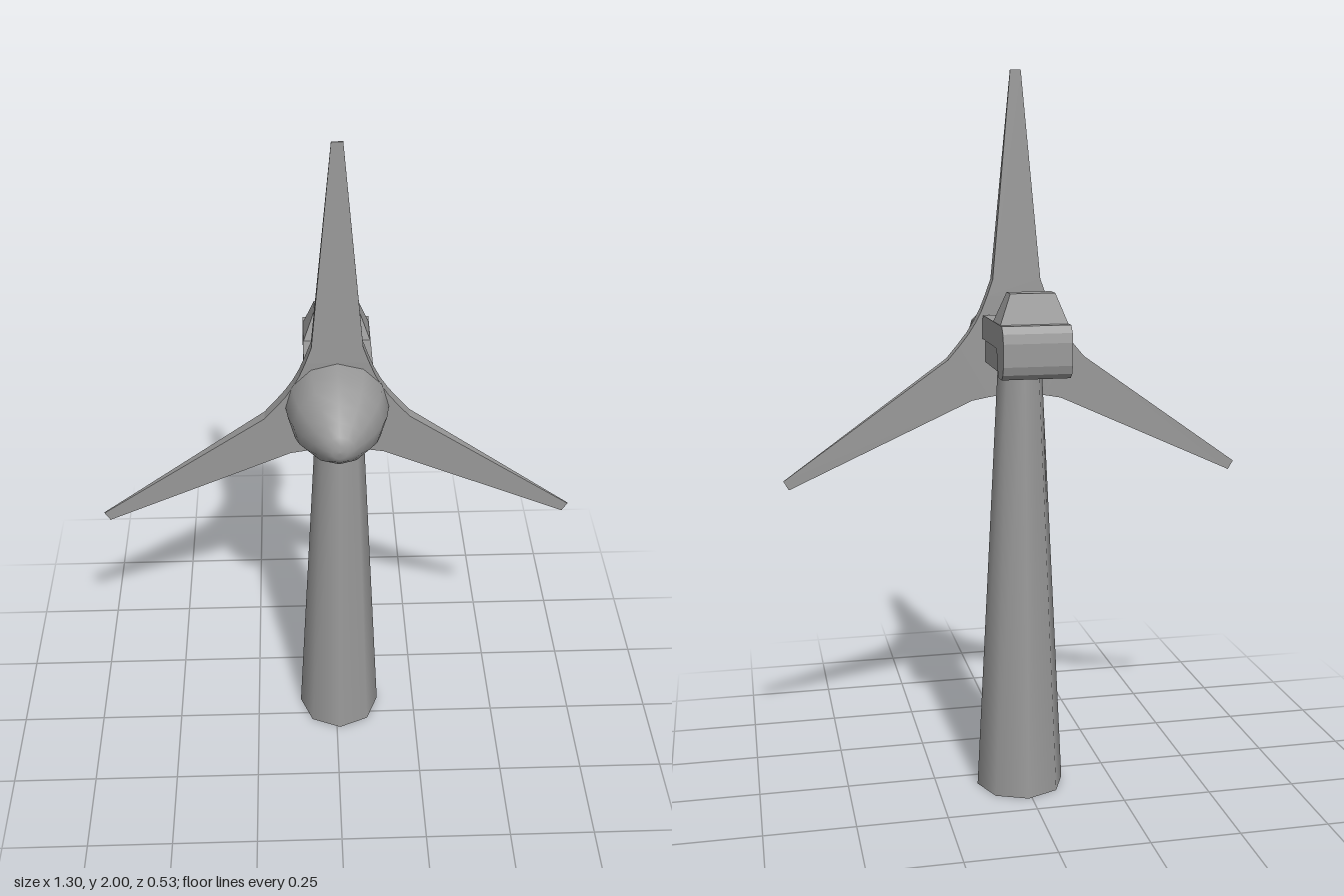
import * as THREE from 'three';

const paint = new THREE.MeshStandardMaterial({ color: 0x999999 });
const HUB_Y = 1.255;

function addMesh(parent, name, geometry, x = 0, y = 0, z = 0) {
  const mesh = new THREE.Mesh(geometry, paint);
  mesh.name = name;
  mesh.position.set(x, y, z);
  parent.add(mesh);
  return mesh;
}

// Flat-faced loft through rectangles [y, halfWidth, zMin, zMax], lowest first
function loft(sections) {
  const rings = sections.map(([y, w, z0, z1]) => [[w, y, z1], [w, y, z0], [-w, y, z0], [-w, y, z1]]);
  const pos = [];
  const quad = (a, b, c, d) => pos.push(...a, ...b, ...c, ...a, ...c, ...d);
  for (let s = 0; s < rings.length - 1; s++) {
    for (let i = 0; i < 4; i++) {
      const j = (i + 1) % 4;
      quad(rings[s][i], rings[s][j], rings[s + 1][j], rings[s + 1][i]);
    }
  }
  const first = rings[0], last = rings[rings.length - 1];
  quad(first[3], first[2], first[1], first[0]);
  quad(last[0], last[1], last[2], last[3]);
  const g = new THREE.BufferGeometry();
  g.setAttribute('position', new THREE.Float32BufferAttribute(pos, 3));
  g.computeVertexNormals();
  return g;
}

export function createModel() {
  const model = new THREE.Group();
  model.name = 'windTurbine';

  // Tapered eight-sided tower
  addMesh(model, 'tower', new THREE.CylinderGeometry(0.061, 0.124, 1.22, 8), 0.01, 0.61, -0.06);

  // Nacelle: side profile (z, y) extruded across the width
  const nacelle = new THREE.Group();
  nacelle.name = 'nacelle';
  nacelle.position.x = 0.005;
  model.add(nacelle);
  const profile = new THREE.Shape([
    [0.028, 1.278], [0.028, 1.328], [0.013, 1.344], [-0.247, 1.344], [-0.262, 1.325], [-0.267, 1.3],
    [-0.267, 1.24], [-0.26, 1.218], [-0.244, 1.204], [-0.205, 1.204], [-0.19, 1.222],
    [-0.187, 1.258], [-0.165, 1.278],
  ].map(([z, y]) => new THREE.Vector2(z, y)));
  const body = new THREE.ExtrudeGeometry(profile, { depth: 0.184, bevelEnabled: false });
  body.rotateY(-Math.PI / 2).translate(0.092, 0, 0);
  addMesh(nacelle, 'nacelleBody', body);

  // Recessed underside and the raised housing at the back
  addMesh(nacelle, 'nacelleUnderside', loft([[1.212, 0.083, -0.195, 0.028], [1.28, 0.083, -0.195, 0.028]]));
  addMesh(nacelle, 'roofHousing', loft([[1.34, 0.092, -0.222, -0.122], [1.423, 0.06, -0.2, -0.151]]));

  // Rotor: three flared blades that meet at the hub
  const rotor = new THREE.Group();
  rotor.name = 'rotor';
  rotor.position.set(0, HUB_Y, 0.046);
  model.add(rotor);
  const bladeGeometry = loft([
    [0, 0, 0.018], [0.067, 0.116, 0.018], [0.1, 0.099, 0.018], [0.14, 0.083, 0.018],
    [0.185, 0.067, 0.017], [0.745, 0.0145, 0.002],
  ].map(([r, w, t]) => [r, w, -t, t]));
  for (let i = 0; i < 3; i++) {
    addMesh(rotor, 'blade' + (i + 1), bladeGeometry).rotation.z = (i * Math.PI * 2) / 3;
  }

  // Rounded nose cone with a closed back
  const cone = [
    [0.137, 0.018], [0.131, 0.062], [0.118, 0.1], [0.094, 0.143], [0.066, 0.18],
    [0.04, 0.208], [0.021, 0.219], [0, 0.221],
  ].map(([r, z]) => new THREE.Vector2(r, z));
  addMesh(rotor, 'noseCone', new THREE.LatheGeometry(cone, 12).rotateX(Math.PI / 2));
  addMesh(rotor, 'noseConeBack', new THREE.CircleGeometry(0.137, 12).rotateY(Math.PI), 0, 0, 0.0175);

  return model;
}
